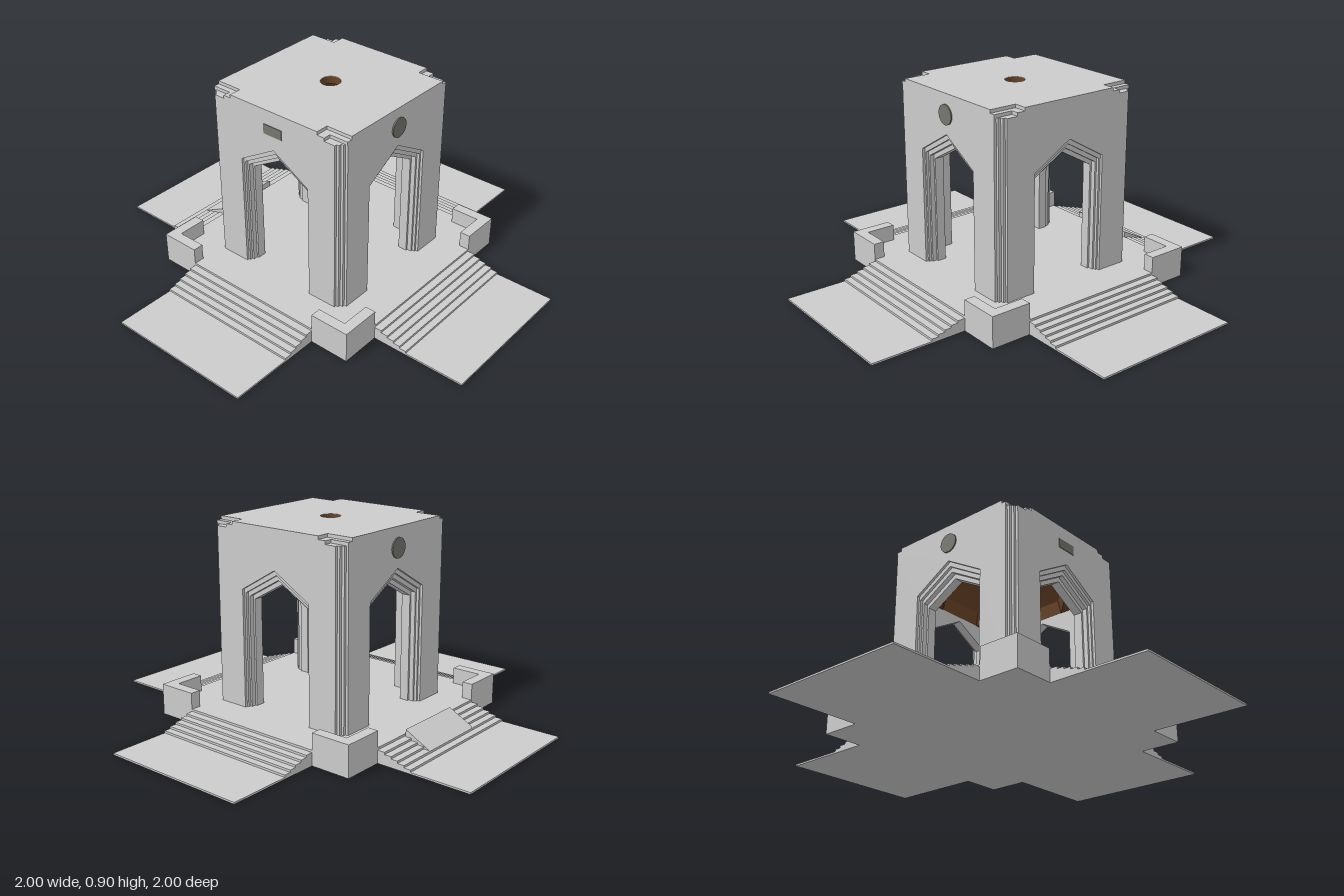
import * as THREE from 'three';

const stone = new THREE.MeshStandardMaterial({ color: 0xcccccc, flatShading: true });
const dark = new THREE.MeshStandardMaterial({ color: 0x74766e });
const brown = new THREE.MeshStandardMaterial({ color: 0x6b4426, flatShading: true, side: THREE.DoubleSide });

function add(parent, name, geometry, material = stone) {
  const mesh = new THREE.Mesh(geometry, material);
  mesh.name = name;
  parent.add(mesh);
  return mesh;
}

// Box given by its lower and upper limits
function block(parent, name, x0, x1, y0, y1, z0, z1) {
  const mesh = add(parent, name, new THREE.BoxGeometry(x1 - x0, y1 - y0, z1 - z0));
  mesh.position.set((x0 + x1) / 2, (y0 + y1) / 2, (z0 + z1) / 2);
}

const shapeOf = (points) => new THREE.Shape(points.map(([x, y]) => new THREE.Vector2(x, y)));
const extrude = (shape, depth) =>
  new THREE.ExtrudeGeometry(shape, { depth, bevelEnabled: false, curveSegments: 12 });

// Plan outline raised from y0 to y1
const raise = (shape, y0, y1) => extrude(shape, y1 - y0).rotateX(-Math.PI / 2).translate(0, y0, 0);

const FLOOR = 0.068, WALL_TOP = 0.87, HALF = 0.367;

// One wall: four layers, each with a smaller pointed opening
function buildWall() {
  const wall = new THREE.Group();
  wall.name = 'archedWall';
  const faces = [HALF, 0.355, 0.342, 0.32, 0.277];
  const widths = [0.33, 0.342, 0.342, 0.32];
  for (let k = 0; k < 4; k++) {
    const w = widths[k], a = 0.187 - 0.009 * k;
    const spring = 0.61 - 0.0165 * k, apex = 0.72 - 0.023 * k;
    const shape = shapeOf([
      [-w, FLOOR], [-a, FLOOR], [-a, spring], [0, apex], [a, spring], [a, FLOOR],
      [w, FLOOR], [w, WALL_TOP], [-w, WALL_TOP],
    ]);
    add(wall, 'archLayer', extrude(shape, faces[k] - faces[k + 1]).translate(0, 0, faces[k + 1]));
  }
  return wall;
}

// Flight of steps and the flat paving in front of it
function buildApproach() {
  const approach = new THREE.Group();
  approach.name = 'approach';
  block(approach, 'paving', -0.35, 0.35, 0, 0.008, 0.53, 0.979);
  for (let i = 1; i <= 5; i++) {
    block(approach, 'step', -0.35, 0.35, 0, FLOOR - 0.01 * i, 0.53, 0.54 + 0.032 * i);
  }
  return approach;
}

// L-shaped low wall at a platform corner
function buildParapet() {
  const o = 0.538, i = 0.488, e = 0.35;
  const shape = shapeOf([[e, -o], [o, -o], [o, -e], [i, -e], [i, -i], [e, -i]]);
  const group = new THREE.Group();
  group.name = 'cornerParapet';
  add(group, 'parapet', raise(shape, 0, 0.143));
  return group;
}

// Roof layer with its corners cut away and a round opening
function roofLayer(cutX, cutZ, y0, y1) {
  const h = HALF, x = h - cutX, z = h - cutZ;
  const shape = shapeOf([
    [-x, -h], [x, -h], [x, -z], [h, -z], [h, z], [x, z],
    [x, h], [-x, h], [-x, z], [-h, z], [-h, -z], [-x, -z],
  ]);
  shape.holes.push(new THREE.Path().absarc(0, 0, 0.045, 0, Math.PI * 2, true));
  return raise(shape, y0, y1);
}

export function createModel() {
  const root = new THREE.Group();
  root.name = 'pavilion';
  const model = new THREE.Group();
  model.name = 'turnedPavilion';
  model.rotation.y = 0.068;
  root.add(model);

  block(model, 'platform', -0.537, 0.537, 0, FLOOR, -0.537, 0.537);

  for (let q = 0; q < 4; q++) {
    for (const part of [buildWall(), buildApproach(), buildParapet()]) {
      part.rotation.y = q * Math.PI / 2;
      model.add(part);
    }
  }

  // Stepped roof edge
  add(model, 'lowerRoof', roofLayer(0.035, 0.09, WALL_TOP, 0.885));
  add(model, 'upperRoof', roofLayer(0.06, 0.127, 0.885, 0.9));

  // Eight-sided inner vault, open at the top
  const apothem = 0.277, r = apothem / Math.cos(Math.PI / 8);
  const profile = [[r, 0.67], [0.285, 0.73], [0.23, 0.79], [0.15, 0.84], [0.05, 0.869]]
    .map(([x, y]) => new THREE.Vector2(x, y));
  add(model, 'vault', new THREE.LatheGeometry(profile, 8, Math.PI / 8), brown);
  add(model, 'openingLining',
    new THREE.CylinderGeometry(0.0445, 0.0445, 0.034, 24, 1, true).translate(0, 0.881, 0), brown);

  // Flat corners between the square walls and the vault
  const t = apothem * Math.tan(Math.PI / 8);
  for (const [sx, sz] of [[1, 1], [1, -1], [-1, 1], [-1, -1]]) {
    const corner = shapeOf([[sx * apothem, sz * t], [sx * apothem, sz * apothem], [sx * t, sz * apothem]]);
    add(model, 'vaultCorner', new THREE.ShapeGeometry(corner).rotateX(-Math.PI / 2).translate(0, 0.67, 0), brown);
  }

  // Round medallions on the front and back
  for (const s of [1, -1]) {
    add(model, 'medallion',
      new THREE.CylinderGeometry(0.045, 0.045, 0.012, 32).rotateX(Math.PI / 2).translate(0, 0.808, s * HALF), dark);
  }

  // Small plain plaque on one side
  add(model, 'sidePlaque', new THREE.BoxGeometry(0.006, 0.045, 0.1).translate(-HALF, 0.81, 0), dark);

  // Sloped ramp over the back steps
  const ramp = shapeOf([[0.543, 0.05], [0.663, 0.012], [0.663, 0.028], [0.543, 0.09]]);
  add(model, 'ramp', extrude(ramp, 0.33).translate(0, 0, -0.165).rotateY(Math.PI / 2));

  return root;
}
